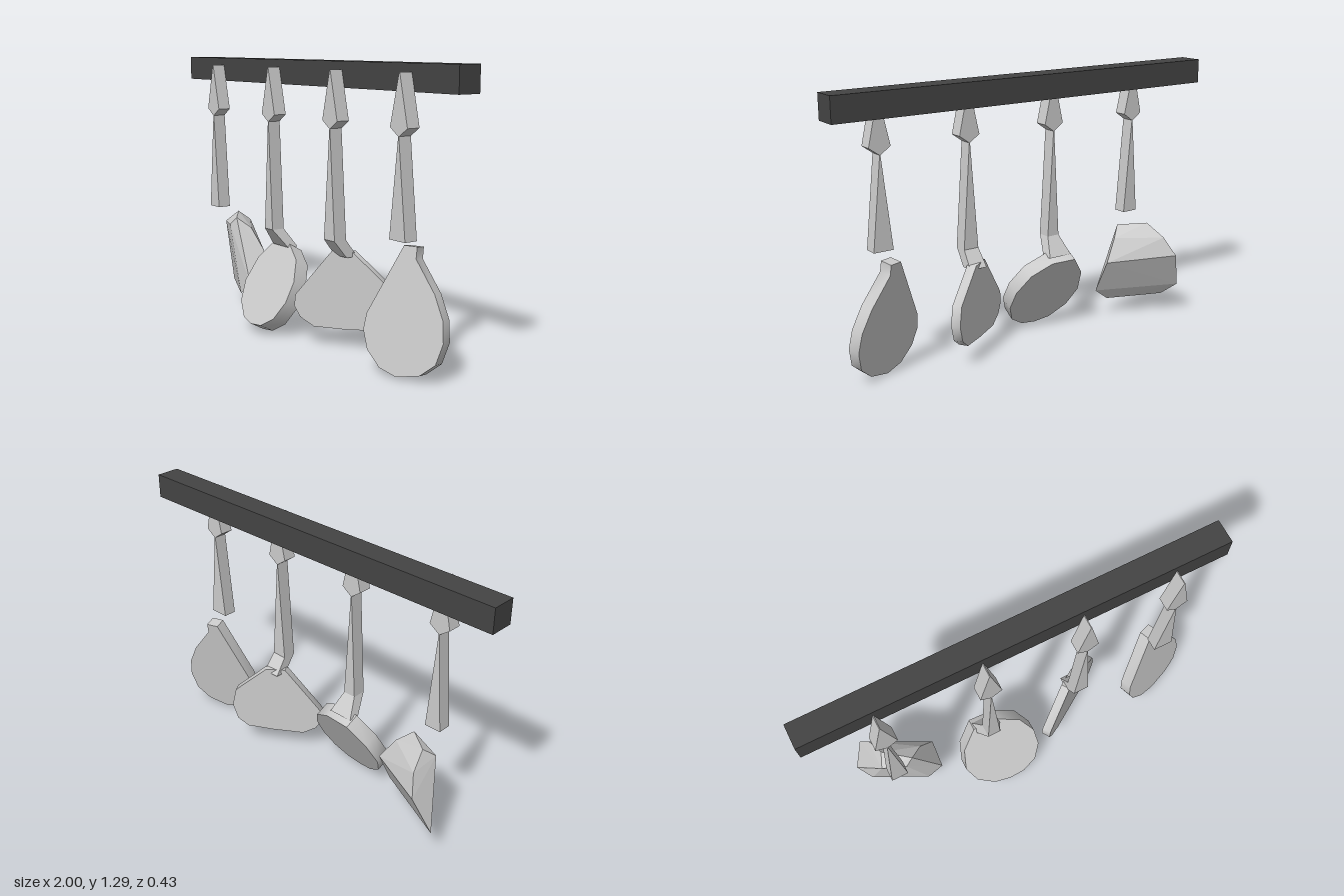
import * as THREE from 'three';
import { toCreasedNormals } from 'three/addons/utils/BufferGeometryUtils.js';
import { ConvexGeometry } from 'three/addons/geometries/ConvexGeometry.js';

const steel = new THREE.MeshStandardMaterial({ color: 0xcccccc });
const steelFlat = new THREE.MeshStandardMaterial({ color: 0xcccccc, flatShading: true });
const dark = new THREE.MeshStandardMaterial({ color: 0x444444 });

const HANDLE_FRONT = 0.095, HANDLE_BACK = 0.03;

function named(name, geometry, material) {
  const mesh = new THREE.Mesh(geometry, material);
  mesh.name = name;
  return mesh;
}

// Four-sided bar through sections [x, halfWidth, y, zFront, zBack], listed from top to bottom
function loft(sections) {
  const rings = sections.map(([x, w, y, zf, zb]) => [
    [x - w, y, zf], [x + w, y, zf], [x + w, y, zb], [x - w, y, zb],
  ]);
  const pos = [];
  const quad = (a, b, c, d) => pos.push(...a, ...b, ...c, ...a, ...c, ...d);
  for (let r = 0; r < rings.length - 1; r++) {
    const t = rings[r], b = rings[r + 1];
    for (let i = 0; i < 4; i++) {
      const j = (i + 1) % 4;
      quad(t[i], b[i], b[j], t[j]);
    }
  }
  const first = rings[0], last = rings[rings.length - 1];
  quad(first[0], first[1], first[2], first[3]);
  quad(last[3], last[2], last[1], last[0]);
  const g = new THREE.BufferGeometry();
  g.setAttribute('position', new THREE.Float32BufferAttribute(pos, 3));
  g.computeVertexNormals();
  return g;
}

// Tilted slab: front outline in x, y lies on z = z0 + a (x - cx) + b (y - cy)
function plate(outline, { cx, cy, z0, a, b, thickness }) {
  const shape = new THREE.Shape(outline.map(([x, y]) => new THREE.Vector2(x, y)));
  const g = new THREE.ExtrudeGeometry(shape, { depth: 1, bevelEnabled: false });
  const n = new THREE.Vector3(-a, -b, 1).normalize();
  const p = g.attributes.position;
  for (let i = 0; i < p.count; i++) {
    const x = p.getX(i), y = p.getY(i), d = (1 - p.getZ(i)) * thickness;
    const z = z0 + a * (x - cx) + b * (y - cy);
    p.setXYZ(i, x - n.x * d, y - n.y * d, z - n.z * d);
  }
  return toCreasedNormals(g, 0.75);
}

// Kite-shaped hanging loop above each handle
function hangingLoop(x) {
  return named('hangingLoop', loft([
    [x, 0.002, 1.26, HANDLE_FRONT, HANDLE_BACK],
    [x, 0.052, 1.04, HANDLE_FRONT, HANDLE_BACK],
    [x, 0.002, 1.005, HANDLE_FRONT, HANDLE_BACK],
  ]), steelFlat);
}

// Handle widening downwards, with optional neck sections
function handle(x, halfWidth, bottom, neck = []) {
  return named('handle', loft([
    [x, 0.002, 1.005, HANDLE_FRONT, HANDLE_BACK],
    [x, halfWidth, bottom, HANDLE_FRONT, HANDLE_BACK],
    ...neck,
  ]), steelFlat);
}

function utensil(name, x, handleMesh, headMesh) {
  const g = new THREE.Group();
  g.name = name;
  g.add(hangingLoop(x), handleMesh, headMesh);
  return g;
}

export function createModel() {
  const model = new THREE.Group();
  model.name = 'utensilRack';

  // Wall rail
  const rail = named('rail', new THREE.BoxGeometry(2, 0.115, 0.115), dark);
  rail.position.set(0, 1.238, -0.0275);
  model.add(rail);

  // Scoop: wedge-shaped head turned to the back
  const scoopPoints = [
    [-0.84, 0.16, -0.16], [-0.79, 0.1, -0.095], [-0.53, 0.09, 0.03], [-0.45, 0.15, 0.025],
    [-0.45, 0.32, -0.06], [-0.52, 0.43, -0.03], [-0.58, 0.48, 0.02], [-0.7, 0.49, -0.07],
    [-0.73, 0.44, -0.01], [-0.62, 0.44, 0.035], [-0.77, 0.34, -0.216], [-0.73, 0.43, -0.165],
  ].map((p) => new THREE.Vector3(...p));
  model.add(utensil('scoop', -0.67,
    handle(-0.67, 0.041, 0.535),
    named('scoopHead', new ConvexGeometry(scoopPoints), steelFlat)));

  // Skimmer: round disc swung forward at the bottom
  const skimmerOutline = [
    [-0.25, 0.415], [-0.12, 0.415], [-0.02, 0.36], [0.032, 0.27], [0.035, 0.18], [-0.005, 0.1],
    [-0.08, 0.055], [-0.16, 0.046], [-0.24, 0.06], [-0.32, 0.12], [-0.355, 0.21], [-0.33, 0.32],
  ];
  model.add(utensil('skimmer', -0.18,
    handle(-0.18, 0.032, 0.49, [[-0.18, 0.062, 0.4, 0.025, -0.03]]),
    named('skimmerHead', plate(skimmerOutline,
      { cx: -0.16, cy: 0.046, z0: 0.215, a: 0.05, b: -0.55, thickness: 0.075 }), steel)));

  // Turner: broad blade twisted about the handle
  const turnerOutline = [
    [0.255, 0.455], [0.335, 0.45], [0.47, 0.31], [0.486, 0.22], [0.465, 0.14], [0.42, 0.1],
    [0.31, 0.092], [0.18, 0.092], [0.125, 0.13], [0.1, 0.18], [0.105, 0.235],
  ];
  model.add(utensil('turner', 0.29,
    handle(0.29, 0.038, 0.51, [[0.29, 0.044, 0.43, 0.03, -0.03]]),
    named('turnerHead', plate(turnerOutline,
      { cx: 0.29, cy: 0.25, z0: 0.025, a: -0.65, b: 0, thickness: 0.045 }), steel)));

  // Spoon: teardrop blade with a short neck
  const spoonOutline = [
    [0.705, 0.55], [0.762, 0.55], [0.765, 0.5], [0.865, 0.37], [0.915, 0.27], [0.93, 0.18],
    [0.91, 0.09], [0.85, 0.035], [0.75, 0.011], [0.67, 0.035], [0.605, 0.1], [0.575, 0.18],
    [0.58, 0.25],
  ];
  model.add(utensil('spoon', 0.735,
    handle(0.735, 0.048, 0.58),
    named('spoonHead', plate(spoonOutline,
      { cx: 0.735, cy: 0.25, z0: 0.068, a: -0.34, b: -0.17, thickness: 0.06 }), steel)));

  return model;
}
